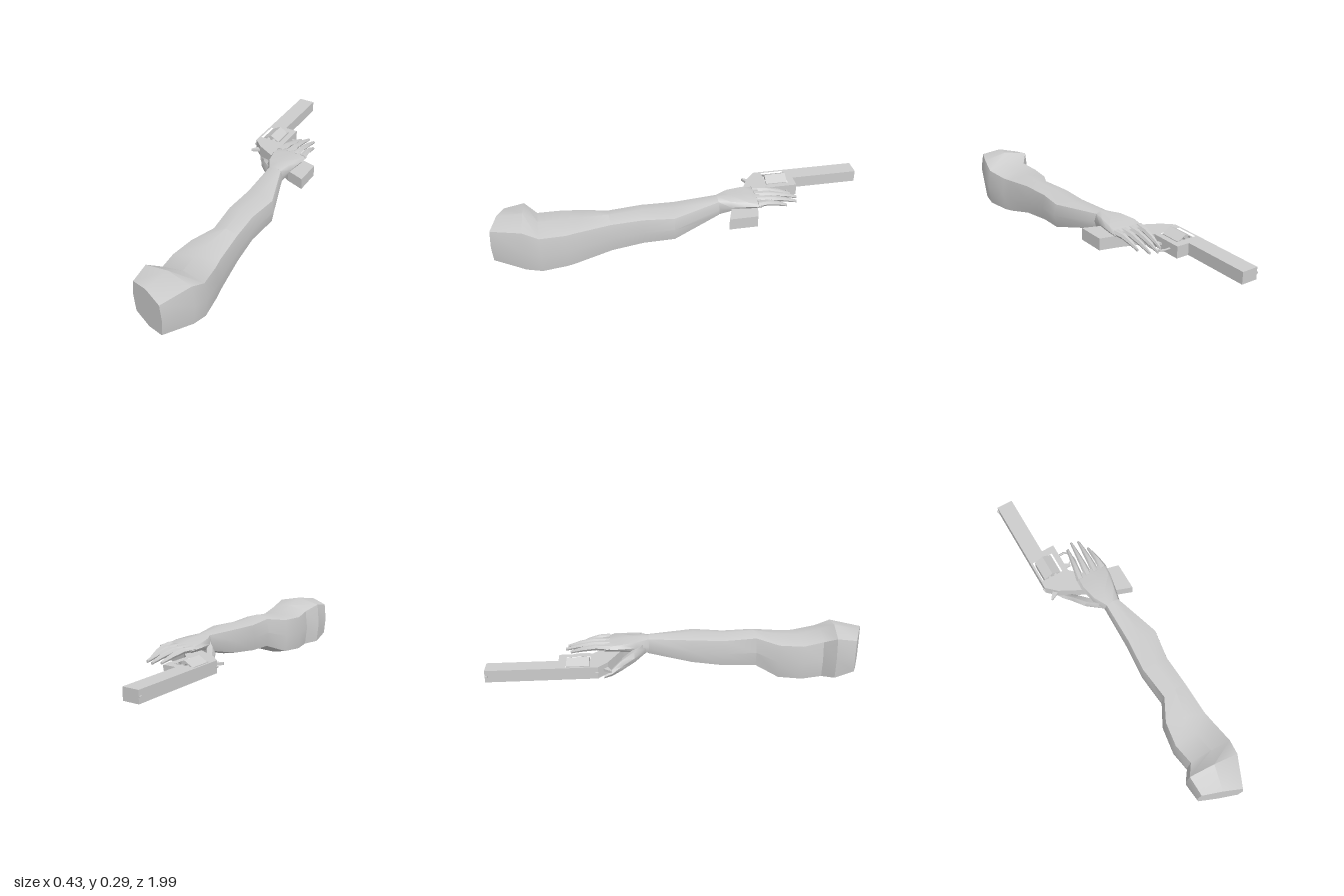
import * as THREE from 'three';
import { toCreasedNormals } from 'three/addons/utils/BufferGeometryUtils.js';

const grey = new THREE.MeshStandardMaterial({ color: 0xcccccc });
grey.name = 'plain grey';

function part(name, geometry) {
  const mesh = new THREE.Mesh(geometry, grey);
  mesh.name = name;
  return mesh;
}

// Skin over rings of points, listed from +z to -z, each anticlockwise seen from +z
function loft(rings, crease = 0.62) {
  const n = rings[0].length;
  const pos = rings.flat(2);
  const index = [];
  for (let i = 0; i < rings.length - 1; i++) {
    for (let j = 0; j < n; j++) {
      const a = i * n + j, b = i * n + (j + 1) % n;
      index.push(a, a + n, b, b, a + n, b + n);
    }
  }
  const last = (rings.length - 1) * n;
  for (let j = 1; j < n - 1; j++) {
    index.push(0, j, j + 1, last, last + j + 1, last + j);
  }
  const g = new THREE.BufferGeometry();
  g.setAttribute('position', new THREE.Float32BufferAttribute(pos, 3));
  g.setIndex(index);
  return toCreasedNormals(g, crease);
}

// Bulged square ring; z runs from zl at the -x side to zr at the +x side
function boxRing([zl, zr, xl, xr, yb, yt]) {
  const ix = Math.min(0.012, (xr - xl) * 0.15), iy = (yt - yb) * 0.1;
  const xm = (xl + xr) / 2, ym = (yb + yt) / 2;
  return [
    [xr, ym], [xr - ix, yt - iy], [xm, yt], [xl + ix, yt - iy],
    [xl, ym], [xl + ix, yb + iy], [xm, yb], [xr - ix, yb + iy],
  ].map(([x, y]) => [x, y, zl + (zr - zl) * (x - xl) / (xr - xl)]);
}

// Tapered six-sided digit along points [x, y, z, half width, half height]
function digit(points) {
  return loft(points.map(([x, y, z, w, h]) => Array.from({ length: 6 }, (_, k) => {
    const a = k * Math.PI / 3;
    return [x + w * Math.cos(a), y + h * Math.sin(a), z];
  })), 0.9);
}

// Flat plate drawn in x and z, standing from y0 to y1
function plate(outline, y0, y1, hole) {
  const toPoints = (list) => list.map(([x, z]) => new THREE.Vector2(x, -z));
  const shape = new THREE.Shape(toPoints(outline));
  if (hole) shape.holes.push(new THREE.Path(toPoints(hole)));
  const g = new THREE.ExtrudeGeometry(shape, { depth: y1 - y0, bevelEnabled: false });
  return g.rotateX(-Math.PI / 2).translate(0, y0, 0);
}

function createArm() {
  const arm = new THREE.Group();
  arm.name = 'arm';
  arm.add(part('sleeve', loft([
    [0.91, 0.99, -0.08, 0.135, 0.05, 0.273],
    [0.81, 0.83, -0.085, 0.2, 0.012, 0.295],
    [0.75, 0.75, -0.038, 0.213, 0.004, 0.255],
    [0.64, 0.62, -0.056, 0.192, 0.003, 0.24],
    [0.51, 0.57, -0.038, 0.182, 0.01, 0.242],
    [0.4, 0.39, 0.02, 0.172, 0.06, 0.258],
    [0.22, 0.23, 0, 0.162, 0.078, 0.256],
    [0.05, 0.07, 0.012, 0.185, 0.1, 0.259],
    [-0.18, -0.18, 0.01, 0.102, 0.168, 0.268],
  ].map(boxRing))));
  return arm;
}

function createHand() {
  const hand = new THREE.Group();
  hand.name = 'hand';
  hand.add(part('palm', loft([
    [-0.175, -0.175, 0.01, 0.102, 0.17, 0.268],
    [-0.24, -0.24, -0.025, 0.115, 0.195, 0.266],
    [-0.33, -0.33, -0.045, 0.132, 0.212, 0.259],
    [-0.41, -0.4, -0.04, 0.137, 0.218, 0.247],
  ].map(boxRing), 0.9)));

  // Fingers: knuckle x, tip x, tip z
  const fingers = [[-0.022, 0.008, -0.585], [0.026, 0.044, -0.612], [0.07, 0.082, -0.6], [0.115, 0.108, -0.54]];
  fingers.forEach(([x, tipX, tipZ], i) => {
    const at = (t, y, w, h) => [x + (tipX - x) * t, y, -0.38 + (tipZ + 0.38) * t, w, h];
    hand.add(part('finger' + (i + 1), digit([
      at(0, 0.238, 0.022, 0.016), at(0.35, 0.238, 0.017, 0.015),
      at(0.7, 0.224, 0.012, 0.013), at(1, 0.206, 0.006, 0.008),
    ])));
  });

  // Thumb wraps beneath the grip
  hand.add(part('thumb', digit([
    [0.03, 0.215, -0.19, 0.025, 0.035], [-0.035, 0.193, -0.255, 0.035, 0.035],
    [-0.08, 0.168, -0.32, 0.028, 0.032], [-0.115, 0.145, -0.37, 0.026, 0.02],
    [-0.15, 0.14, -0.41, 0.013, 0.012],
  ])));
  return hand;
}

// Revolver lying on its side, grip towards +x
function createRevolver() {
  const gun = new THREE.Group();
  gun.name = 'revolver';
  gun.add(part('frameBarrelAndGrip', plate([
    [-0.208, -1], [-0.12, -1], [-0.12, -0.64], [-0.05, -0.64], [-0.05, -0.47], [0, -0.42],
    [0.1, -0.385], [0.2, -0.36], [0.2, -0.21], [0.1, -0.245], [0, -0.31], [-0.08, -0.35],
    [-0.155, -0.39], [-0.208, -0.44],
  ], 0.157, 0.22, [[-0.197, -0.6], [-0.08, -0.6], [-0.08, -0.48], [-0.197, -0.48]])));

  // Hexagonal drum with six open chambers
  const ringPoint = (r, a) => new THREE.Vector2(r * Math.cos(a), r * Math.sin(a));
  const drum = new THREE.Shape();
  const corners = [];
  for (let k = 0; k < 6; k++) {
    const a = k * Math.PI / 3;
    corners.push(ringPoint(0.055, a + Math.PI / 6));
    const c = ringPoint(0.033, a);
    drum.holes.push(new THREE.Path().absarc(c.x, c.y, 0.0125, 0, Math.PI * 2, true));
  }
  drum.setFromPoints(corners);
  const drumGeometry = new THREE.ExtrudeGeometry(drum, { depth: 0.115, bevelEnabled: false, curveSegments: 8 });
  gun.add(part('drum', drumGeometry.translate(-0.137, 0.19, -0.598)));

  // Trigger guard and trigger
  const guard = new THREE.CatmullRomCurve3([
    [-0.055, -0.585], [-0.005, -0.582], [0.014, -0.535], [0.008, -0.48], [-0.02, -0.43],
  ].map(([x, z]) => new THREE.Vector3(x, 0.189, z)));
  gun.add(part('triggerGuard', new THREE.TubeGeometry(guard, 12, 0.006, 6)));
  gun.add(part('trigger', plate([[-0.055, -0.53], [-0.025, -0.515], [-0.012, -0.53], [-0.02, -0.5], [-0.055, -0.5]], 0.184, 0.194)));

  // Hammer and sights
  gun.add(part('hammer', plate([[-0.165, -0.43], [-0.15, -0.395], [-0.2, -0.37], [-0.204, -0.378], [-0.18, -0.41]], 0.182, 0.195)));
  for (const [name, z] of [['frontSight', -0.993], ['rearSight', -0.445]]) {
    gun.add(part(name, new THREE.BoxGeometry(0.012, 0.008, 0.014).translate(-0.21, 0.189, z)));
  }
  return gun;
}

export function createModel() {
  const model = new THREE.Group();
  model.name = 'armWithRevolver';
  model.add(createArm(), createHand(), createRevolver());
  return model;
}
